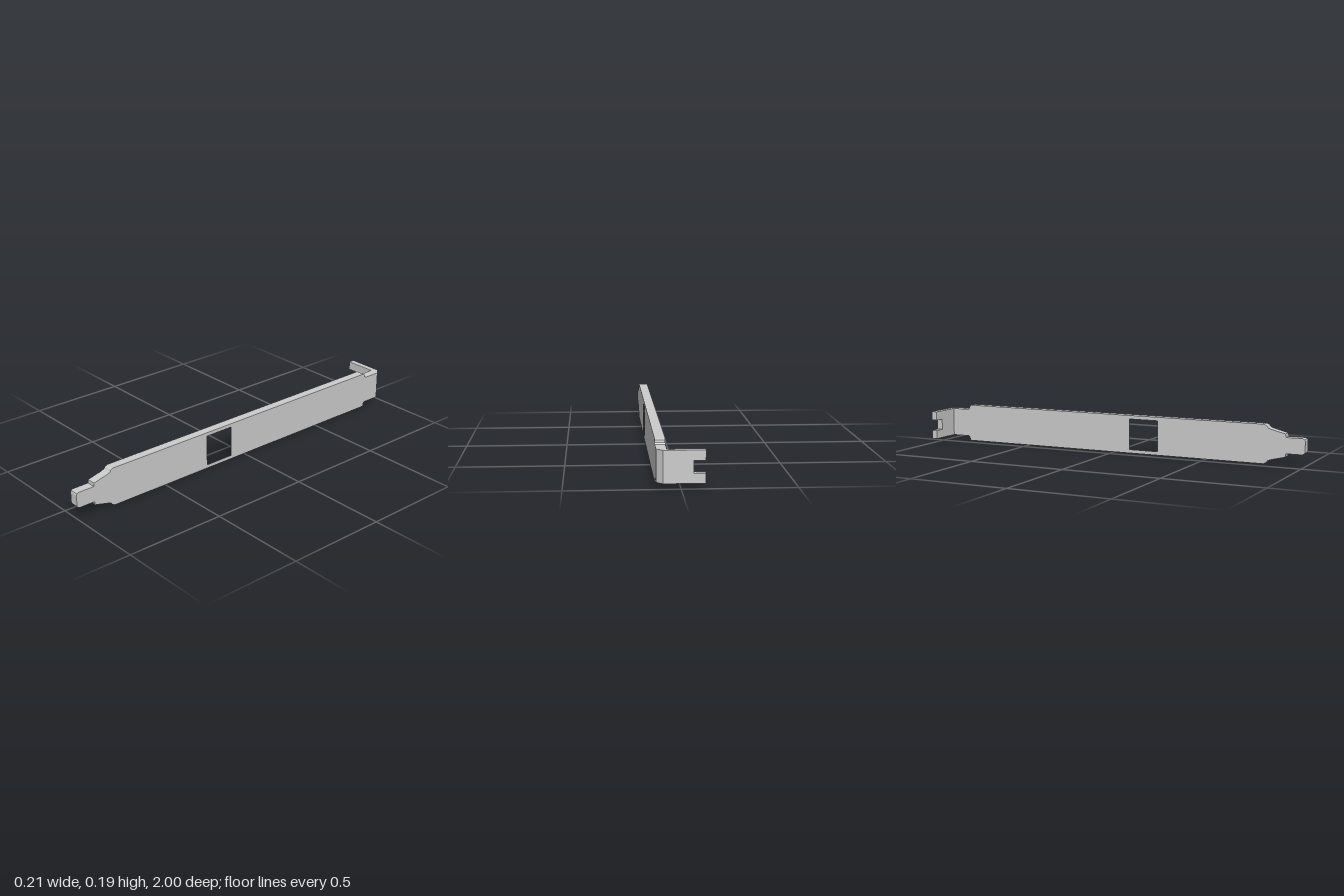
import * as THREE from 'three';

const MID = 0.096; // mid height of the bracket
const INNER = 0.059, OUTER = 0.105; // x of the plate's two faces
const TAB_Z = -0.97; // inner face of the bent tab
const TAB_LOW = 0.024, TAB_HIGH = 0.168;

const toShape = (pts) => new THREE.Shape(pts.map(([x, y]) => new THREE.Vector2(x, y)));

function addPart(group, name, shape, depth, place) {
  const geometry = new THREE.ExtrudeGeometry(shape, { depth, bevelEnabled: false });
  place(geometry);
  const material = new THREE.MeshStandardMaterial({ color: 0xcccccc, flatShading: true });
  const mesh = new THREE.Mesh(geometry, material);
  mesh.name = name;
  group.add(mesh);
}

export function createModel() {
  const group = new THREE.Group();
  group.name = 'slotBracket';

  // Long plate: half outline as [z, half width], mirrored about the mid height
  const half = [
    [1, 0.027], [0.997, 0.034], [0.988, 0.039], [0.905, 0.039], [0.903, 0.056],
    [0.83, 0.074], [0.815, 0.08], [0.808, 0.09], [0.795, 0.096],
    [-0.858, 0.096], [-0.866, 0.091], [-0.868, 0.079], [-0.875, 0.072], [TAB_Z, 0.072],
  ];
  const upper = half.map(([z, h]) => [-z, MID + h]);
  const lower = half.map(([z, h]) => [-z, MID - h]).reverse();
  const plate = toShape([...lower, ...upper]);

  // Rectangular port through the plate
  plate.holes.push(toShape([[-0.24, 0.018], [-0.24, 0.174], [-0.085, 0.174], [-0.085, 0.018]]));
  addPart(group, 'plate', plate, OUTER - INNER, (g) => g.rotateY(Math.PI / 2).translate(INNER, 0, 0));

  // Bent corner with a chamfered outside edge, drawn as [x, -z]
  const corner = toShape([[INNER, -TAB_Z], [OUTER, -TAB_Z], [0.077, 1], [INNER, 1]]);
  addPart(group, 'bentCorner', corner, TAB_HIGH - TAB_LOW,
    (g) => g.rotateX(-Math.PI / 2).translate(0, TAB_LOW, 0));

  // Mounting tab with an open screw slot
  const tab = toShape([
    [-OUTER, TAB_LOW], [INNER, TAB_LOW], [INNER, TAB_HIGH], [-OUTER, TAB_HIGH],
    [-OUTER, 0.123], [-0.054, 0.123], [-0.054, 0.068], [-OUTER, 0.068],
  ]);
  addPart(group, 'mountingTab', tab, 1 + TAB_Z, (g) => g.translate(0, 0, -1));

  return group;
}
